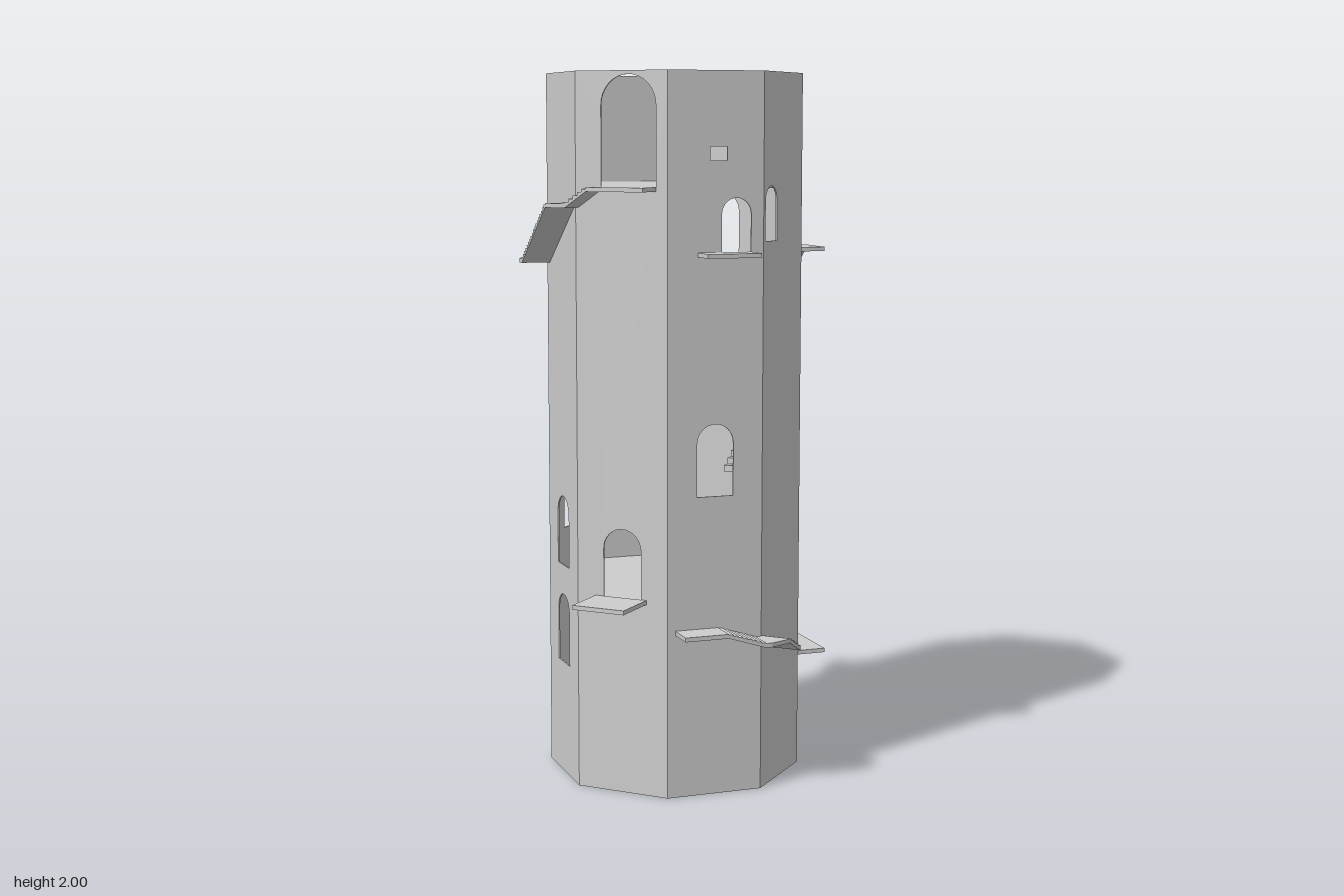
import * as THREE from 'three';

const A = 0.335;                       // wall distance from the axis
const H = A * Math.tan(Math.PI / 8);   // half the width of one wall
const WALK = 0.083, SLAB = 0.012, WALL = 0.004;
const FACES = ['front', 'frontLeft', 'left', 'backLeft', 'back', 'backRight', 'right', 'frontRight'];

export function createModel() {
  const stone = new THREE.MeshStandardMaterial({ color: 0xcccccc });
  stone.name = 'grey stone';
  const tower = new THREE.Group();
  tower.name = 'octagonalTower';
  tower.position.z = -0.03;

  // one group per wall: local x runs along the wall, local z points outwards
  const sides = FACES.map((name, i) => {
    const g = new THREE.Group();
    g.name = name + 'Side';
    g.rotation.y = i * Math.PI / 4;
    tower.add(g);
    return g;
  });
  const add = (parent, name, geo) => {
    const m = new THREE.Mesh(geo, stone);
    m.name = name;
    parent.add(m);
    return m;
  };
  const extrude = (shape, depth, z) =>
    new THREE.ExtrudeGeometry(shape, { depth, bevelEnabled: false, curveSegments: 8 }).translate(0, 0, z);

  // round-headed outline: centre, width, bottom, top
  const arch = (c, w, y0, y1, T = THREE.Shape) => {
    const r = w / 2, s = new T();
    s.moveTo(c - r, y0);
    s.lineTo(c + r, y0);
    s.lineTo(c + r, y1 - r);
    s.absarc(c, y1 - r, r, 0, Math.PI, false);
    s.lineTo(c - r, y0);
    return s;
  };
  const polygon = (pts, T = THREE.Shape) => new T(pts.map(p => new THREE.Vector2(...p)));

  // walls with arched openings
  const openings = [
    [[0.022, 0.165, 1.69, 1.99], [0, 0.115, 0.55, 0.75]],
    [[0.06, 0.085, 1.51, 1.66], [0, 0.106, 0.845, 1.045]],
    [[-0.085, 0.08, 1.54, 1.69]],
    [[-0.08, 0.085, 1.51, 1.66], [-0.01, 0.113, 0.33, 0.535]],
    [[0, 0.115, 1.45, 1.66]],
    [[-0.024, 0.09, 1.305, 1.455], [0, 0.115, 0.325, 0.525]],
    [[0, 0.11, 0.68, 0.885]],
    [[0, 0.106, 0.61, 0.81], [0, 0.106, 0.325, 0.525]],
  ];
  openings.forEach((list, i) => {
    const wall = polygon([[-H, 0], [H, 0], [H, 2], [-H, 2]]);
    list.forEach(o => wall.holes.push(arch(...o, THREE.Path)));
    if (i === 1) {
      wall.holes.push(polygon([[-0.017, 1.76], [-0.017, 1.797], [0.033, 1.797], [0.033, 1.76]], THREE.Path));
    }
    add(sides[i], 'wall', extrude(wall, WALL, A - WALL));
  });

  // ground and inner floors
  [0.003, 0.547, 1.297, 1.687].forEach(y => {
    const r = (A - 0.002) / Math.cos(Math.PI / 8);
    add(tower, 'floor', new THREE.CylinderGeometry(r, r, 0.006, 8).rotateY(Math.PI / 8)).position.y = y;
  });

  // blind doors
  add(sides[4], 'blindDoor', extrude(arch(0.01, 0.125, 1.045, 1.24), 0.022, A));
  const frame = arch(0, 0.115, 0, 0.21);
  frame.holes.push(arch(0, 0.08, 0.004, 0.188, THREE.Path));
  add(sides[6], 'doorFrame', extrude(frame, 0.013, A));
  add(sides[6], 'doorPanel', extrude(arch(0, 0.08, 0.004, 0.188), 0.004, A));

  // flat slab or stepped flight along one wall, from (s0, y0) to (s1, y1)
  const walk = (i, s0, y0, s1, y1 = y0, depth = WALK) => {
    const n = y0 === y1 ? 1 : Math.max(3, Math.round((s1 - s0) / 0.0135));
    const pts = [[s0, y0 - SLAB], [s1, y1 - SLAB]];
    for (let k = n; k > 0; k--) {
      const y = y0 + (y1 - y0) * (k - 0.5) / n;
      pts.push([s0 + (s1 - s0) * k / n, y], [s0 + (s1 - s0) * (k - 1) / n, y]);
    }
    add(sides[i], y0 === y1 ? 'landing' : 'stairFlight', extrude(polygon(pts), depth, A));
  };
  // wedge that carries a walkway around the corner after wall i
  const corner = (i, y) => {
    const d = WALK * Math.SQRT1_2;
    const geo = extrude(polygon([[H, A], [H, A + WALK], [H + d, A + d]]), SLAB, 0);
    add(sides[i], 'cornerLanding', geo.rotateX(Math.PI / 2).translate(0, y, 0));
  };

  // upper walkway: down along the back, then up to the big front door
  const upper = [
    [3, -0.113, 1.51, 0.02], [3, 0.02, 1.51, 0.095, 1.45], [3, 0.095, 1.45, H],
    [4, -H, 1.45, -0.13], [4, -0.13, 1.45, -0.055, 1.41], [4, 0.085, 1.36, H, 1.36, 0.078],
    [5, -H, 1.36, -0.113], [5, -0.113, 1.36, -0.035, 1.305], [5, -0.035, 1.305, 0.06],
    [5, 0.06, 1.305, 0.13, 1.42], [5, 0.13, 1.42, H],
    [6, -H, 1.42, -0.13], [6, -0.13, 1.42, -0.01, 1.48], [6, -0.01, 1.48, H],
    [7, -H, 1.48, -0.115], [7, -0.115, 1.48, 0.125, 1.645], [7, 0.125, 1.645, H],
    [0, -H, 1.645, -0.13], [0, -0.13, 1.645, -0.065, 1.69], [0, -0.065, 1.69, 0.105],
  ];
  upper.forEach(p => walk(...p));
  [[3, 1.45], [4, 1.36], [5, 1.42], [6, 1.48], [7, 1.645]].forEach(c => corner(...c));

  // two block steps below the back door
  [[-0.055, 0.04, 1.335, 1.405], [0.04, 0.085, 1.32, 1.375]].forEach(([s0, s1, y0, y1]) =>
    add(sides[4], 'blockStep', extrude(polygon([[s0, y0], [s1, y0], [s1, y1], [s0, y1]]), 0.05, A)));

  // lower walkway
  walk(1, -0.116, 0.475, 0.01);
  walk(1, 0.01, 0.475, 0.12, 0.44);
  walk(1, 0.12, 0.44, H);
  corner(1, 0.44);
  walk(2, -H, 0.44, -0.13);
  walk(2, -0.13, 0.44, -0.05, 0.4);

  // balconies under single doors
  walk(0, -0.083, 0.557, 0.074, 0.557, 0.14);
  walk(1, -0.052, 1.514, 0.103, 1.514, 0.078);
  walk(3, -H, 0.335, 0.06, 0.335, 0.085);

  // short inner stair
  for (let k = 0; k < 6; k++) {
    add(tower, 'innerStep', new THREE.BoxGeometry(0.09, 0.018, 0.025))
      .position.set(0.195, 0.88 + k * 0.018, -0.03 - k * 0.025);
  }

  const model = new THREE.Group();
  model.name = 'tower';
  model.add(tower);
  return model;
}
